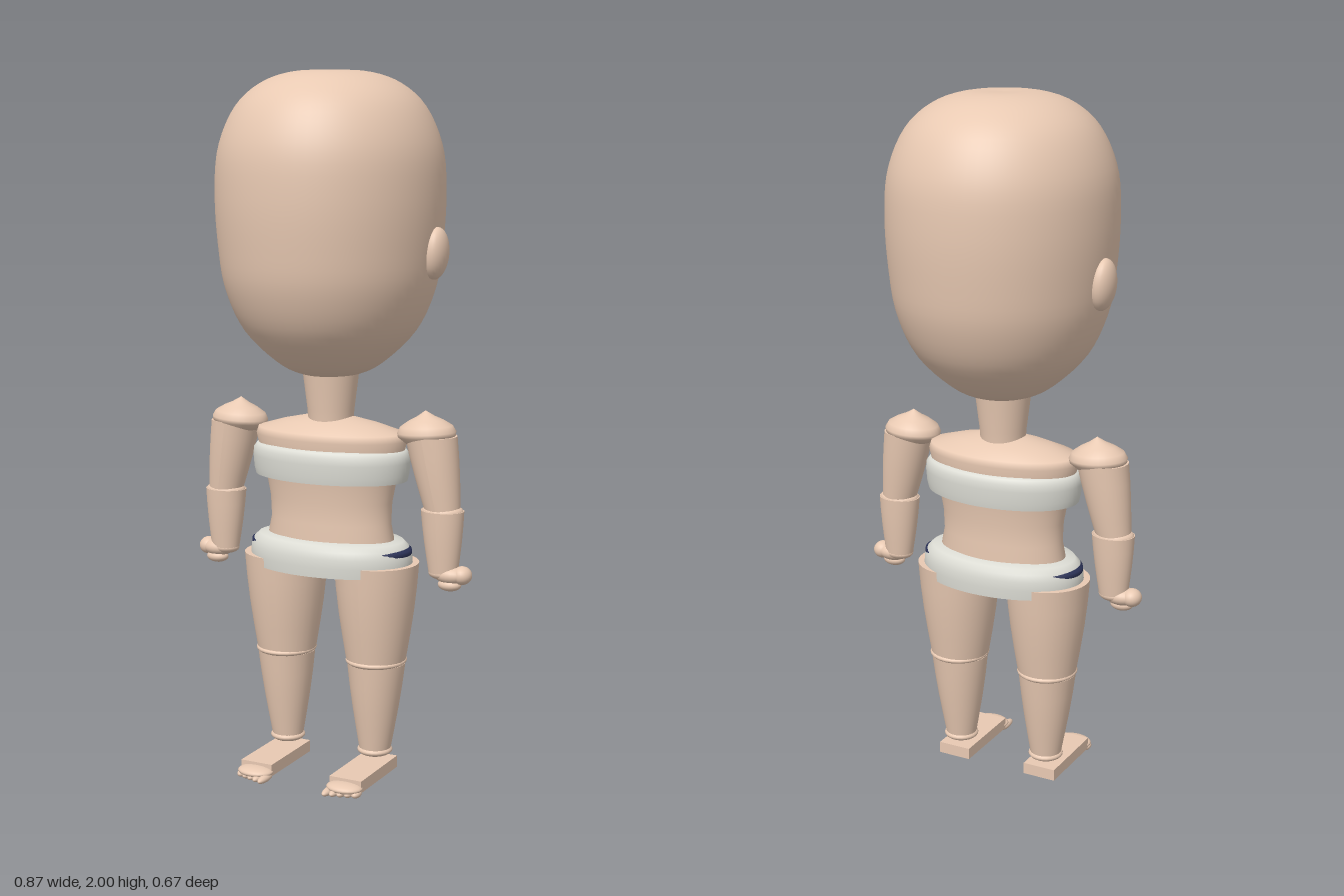
import * as THREE from 'three';

const skin = new THREE.MeshStandardMaterial({ color: 0xe8c9b2 });
const white = new THREE.MeshStandardMaterial({ color: 0xdcdcd4 });
const navy = new THREE.MeshStandardMaterial({ color: 0x2c3358 });

function add(parent, name, geometry, material, x = 0, y = 0, z = 0) {
  const mesh = new THREE.Mesh(geometry, material);
  mesh.name = name;
  mesh.position.set(x, y, z);
  parent.add(mesh);
  return mesh;
}

// Lathe from [radius, y] pairs listed bottom to top; depth squashes it along z
function turned(points, depth = 1, segments = 48) {
  const profile = points.map(([r, y]) => new THREE.Vector2(r, y));
  return new THREE.LatheGeometry(profile, segments).scale(1, 1, depth);
}

// Smooth lathe through a few control points
function smoothTurned(points, depth = 1) {
  const curve = new THREE.SplineCurve(points.map(([r, y]) => new THREE.Vector2(r, y)));
  const profile = curve.getPoints(48);
  profile.forEach(p => { p.x = Math.max(p.x, 0); });
  return new THREE.LatheGeometry(profile, 64).scale(1, 1, depth);
}

function ellipsoid(rx, ry, rz) {
  return new THREE.SphereGeometry(1, 24, 16).scale(rx, ry, rz);
}

// Tapered limb whose lower end is shifted sideways by lean
function limb(rTop, rBottom, yTop, yBottom, lean = 0, depth = 1) {
  const h = yTop - yBottom;
  const g = new THREE.CylinderGeometry(rTop, rBottom, h, 32, 4);
  const p = g.attributes.position;
  for (let i = 0; i < p.count; i++) {
    const t = 0.5 - p.getY(i) / h;
    const bulge = 1 + 0.04 * Math.sin(Math.PI * t);
    p.setXYZ(i, p.getX(i) * bulge + lean * t, p.getY(i) + (yTop + yBottom) / 2, p.getZ(i) * bulge * depth);
  }
  g.computeVertexNormals();
  return g;
}

function buildHead(model) {
  add(model, 'head', smoothTurned([
    [0, 1.15], [0.08, 1.16], [0.15, 1.195], [0.24, 1.285], [0.291, 1.4], [0.31, 1.52],
    [0.318, 1.66], [0.308, 1.79], [0.262, 1.9], [0.19, 1.966], [0.1, 1.996], [0, 1.996],
  ], 1.06), skin);
  add(model, 'neck', turned([[0.064, 1.02], [0.067, 1.06], [0.082, 1.18]]), skin);
}

function buildTorso(model) {
  add(model, 'torso', turned([
    [0.19, 0.64], [0.195, 0.69], [0.185, 0.74], [0.188, 0.8], [0.2, 0.86],
    [0.222, 0.94], [0.232, 0.98], [0.225, 1.0], [0.15, 1.022], [0.066, 1.04], [0, 1.042],
  ], 0.56, 64), skin);
  add(model, 'chestBand', turned([
    [0, 0.865], [0.232, 0.865], [0.232, 0.865], [0.237, 0.885], [0.24, 0.92],
    [0.238, 0.94], [0.228, 0.953], [0.21, 0.957],
  ], 0.62, 64), white);
  // Dark inner shorts just break through the white band at the hips
  add(model, 'innerShorts', turned([
    [0, 0.615], [0.235, 0.615], [0.235, 0.615], [0.24, 0.64], [0.248, 0.658], [0.247, 0.67], [0.225, 0.682], [0.18, 0.685],
  ], 0.57, 64), navy);
  const band = add(model, 'hipBand', turned([
    [0.246, 0.602], [0.249, 0.63], [0.247, 0.655], [0.238, 0.675], [0.222, 0.69], [0.18, 0.695],
  ], 0.62, 64), white.clone());
  band.material.side = THREE.DoubleSide;
}

// One side of the body, built for the model's left (+x)
function buildSide() {
  const side = new THREE.Group();

  const ear = add(side, 'ear', ellipsoid(0.034, 0.072, 0.05), skin, 0.312, 1.505, -0.018);
  ear.rotation.z = -0.08;

  // Arm
  const shoulder = add(side, 'shoulder', turned([
    [0, -0.035], [0.06, -0.025], [0.082, -0.006], [0.084, 0.005], [0.075, 0.022],
    [0.05, 0.038], [0.025, 0.05], [0, 0.066],
  ], 0.86, 32), skin, 0.298, 1.008, 0);
  shoulder.rotation.z = 0.06;
  add(side, 'upperArm', limb(0.074, 0.05, 1.005, 0.79, 0.038, 0.93), skin, 0.311);
  add(side, 'elbow', ellipsoid(0.06, 0.022, 0.05), skin, 0.348, 0.795, 0);
  add(side, 'forearm', limb(0.062, 0.042, 0.797, 0.62, 0.004, 0.84), skin, 0.348);

  // Hand with curled fingers
  add(side, 'wrist', ellipsoid(0.044, 0.02, 0.036), skin, 0.353, 0.62, 0);
  add(side, 'palm', ellipsoid(0.048, 0.026, 0.036), skin, 0.375, 0.617, 0.002);
  add(side, 'fingers', ellipsoid(0.028, 0.026, 0.03), skin, 0.409, 0.618, 0);
  add(side, 'thumb', ellipsoid(0.034, 0.018, 0.026), skin, 0.375, 0.59, 0.008);

  // Leg
  add(side, 'thigh', limb(0.122, 0.086, 0.63, 0.345), skin, 0.145);
  add(side, 'knee', ellipsoid(0.088, 0.02, 0.092), skin, 0.146, 0.342, 0);
  add(side, 'shin', limb(0.084, 0.045, 0.335, 0.075, -0.003), skin, 0.146);
  add(side, 'ankle', ellipsoid(0.051, 0.018, 0.051), skin, 0.143, 0.073, 0);

  // Foot
  add(side, 'foot', new THREE.BoxGeometry(0.1, 0.034, 0.235), skin, 0.143, 0.028, 0.0725);
  add(side, 'toeBase', ellipsoid(0.054, 0.015, 0.04), skin, 0.143, 0.022, 0.195);
  for (let i = 0; i < 5; i++) {
    const length = 0.038 - i * 0.004;
    add(side, 'toe', ellipsoid(0.013, 0.011, length), skin, 0.103 + i * 0.02, 0.011, 0.212 - i * 0.003);
  }
  return side;
}

// Mirrors a side across x = 0, flipping each mesh's geometry and winding
function mirrored(side) {
  const copy = new THREE.Group();
  for (const mesh of side.children) {
    mesh.updateMatrix();
    const g = mesh.geometry.clone().applyMatrix4(mesh.matrix).scale(-1, 1, 1);
    const index = g.index.array;
    for (let i = 0; i < index.length; i += 3) {
      [index[i], index[i + 1]] = [index[i + 1], index[i]];
    }
    add(copy, mesh.name, g, mesh.material);
  }
  return copy;
}

export function createModel() {
  const model = new THREE.Group();
  model.name = 'figure';
  buildHead(model);
  buildTorso(model);
  const left = buildSide();
  left.name = 'leftSide';
  const right = mirrored(left);
  right.name = 'rightSide';
  model.add(left, right);
  return model;
}
